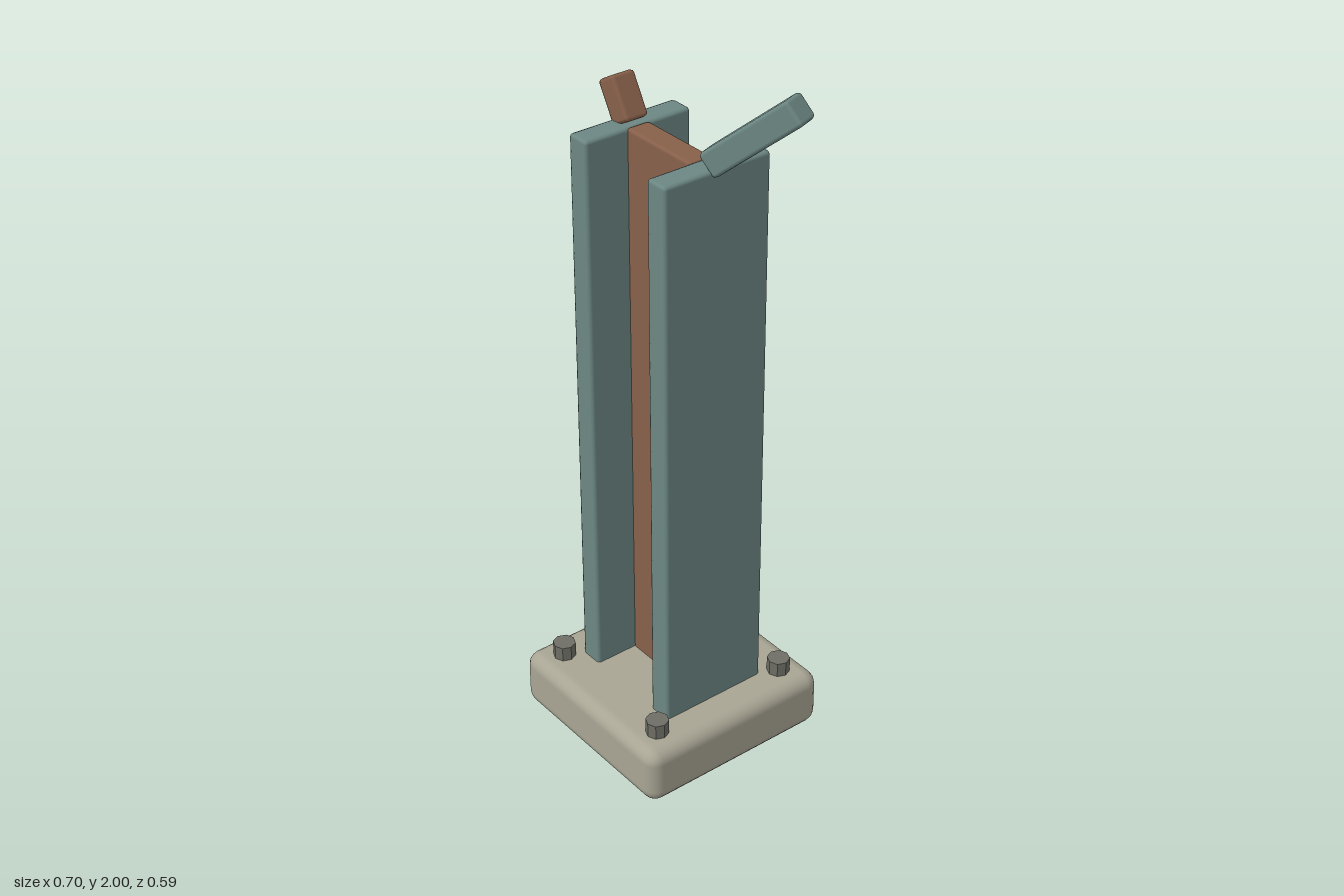
import * as THREE from 'three';
import { RoundedBoxGeometry } from 'three/addons/geometries/RoundedBoxGeometry.js';

const mat = (name, color) => {
  const m = new THREE.MeshStandardMaterial({ color });
  m.name = name;
  return m;
};

export function createModel() {
  const concrete = mat('concrete', 0xa8a594);
  const steel = mat('paintedSteel', 0x6c8783);
  const rust = mat('rust', 0x87604a);
  const boltMetal = mat('boltMetal', 0x6e6e66);
  boltMetal.flatShading = true;

  const group = new THREE.Group();
  group.name = 'brokenColumn';

  const bar = (name, size, pos, material, radius = 0.01, segments = 1) => {
    const mesh = new THREE.Mesh(new RoundedBoxGeometry(...size, segments, radius), material);
    mesh.name = name;
    mesh.position.set(...pos);
    group.add(mesh);
    return mesh;
  };

  // Footing block
  bar('footing', [0.59, 0.17, 0.59], [-0.06, 0.085, 0], concrete, 0.04, 2);

  // H-beam: two flanges joined by a rusted web, sunk into the footing
  const top = 1.77, bottom = 0.06;
  const h = top - bottom, y = (top + bottom) / 2;
  bar('rightFlange', [0.07, h, 0.324], [-0.215, y, 0], steel);
  bar('leftFlange', [0.07, h, 0.324], [0.095, y, 0], steel);
  bar('web', [0.255, h, 0.07], [-0.06, y, 0], rust);

  // Torn metal at the top: long bent strip and short rusted stub
  const strip = bar('bentStrip', [0.306, 0.07, 0.07], [0.212, 1.875, -0.044], steel);
  strip.rotation.set(0, THREE.MathUtils.degToRad(20), THREE.MathUtils.degToRad(40), 'YXZ');
  const stub = bar('tornStub', [0.07, 0.12, 0.07], [-0.242, 1.82, 0], rust);
  stub.rotation.z = THREE.MathUtils.degToRad(30);

  // Anchor bolts at the footing corners
  const boltGeometry = new THREE.CylinderGeometry(0.032, 0.032, 0.06, 8);
  for (const x of [-0.272, 0.151]) {
    for (const z of [-0.212, 0.212]) {
      const bolt = new THREE.Mesh(boltGeometry, boltMetal);
      bolt.name = 'anchorBolt';
      bolt.position.set(x, 0.183, z);
      group.add(bolt);
    }
  }
  return group;
}
